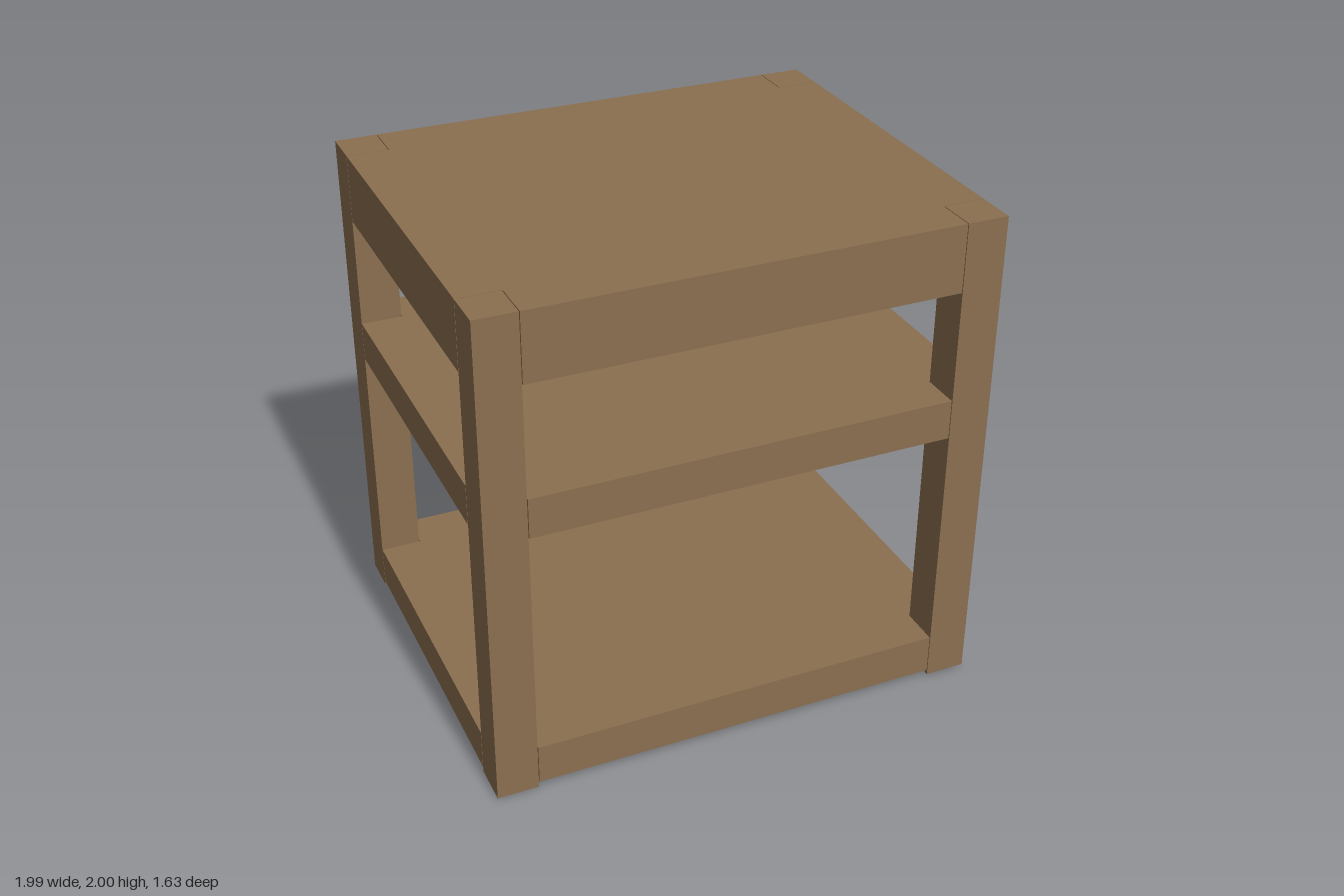
import * as THREE from 'three';

export function createModel() {
  const group = new THREE.Group();
  const wood = new THREE.MeshStandardMaterial({ color: 0x8b6f50 });
  wood.name = 'brown wood';

  const X = 0.997, Z = 0.815;      // outer half sizes
  const LEG = 0.163, BOARD = 0.08; // leg width, board thickness
  const lx = X - LEG, lz = Z - LEG; // inner leg faces
  const GAP = 0.003;

  const add = (name, geometry, x, y, z) => {
    const mesh = new THREE.Mesh(geometry, wood);
    mesh.name = name;
    mesh.position.set(x, y, z);
    group.add(mesh);
  };
  const box = (name, w, h, d, x, y, z) =>
    add(name, new THREE.BoxGeometry(w, h, d), x, y, z);

  // Legs with small glides underneath
  for (const sx of [-1, 1]) for (const sz of [-1, 1]) {
    const x = sx * (X - LEG / 2), z = sz * (Z - LEG / 2);
    box('leg', LEG, 1.99, LEG, x, 1.005, z);
    add('footGlide', new THREE.CylinderGeometry(0.053, 0.053, 0.012, 24), x, 0.006, z);
  }

  // Shelf board outline, notched around the legs
  const px = X - BOARD, pz = Z - BOARD;
  const nx = lx - GAP, nz = lz - GAP;
  const outline = new THREE.Shape([
    [nx, -pz], [nx, -nz], [px, -nz], [px, nz], [nx, nz], [nx, pz],
    [-nx, pz], [-nx, nz], [-px, nz], [-px, -nz], [-nx, -nz], [-nx, -pz],
  ].map(([x, y]) => new THREE.Vector2(x, y)));
  const board = new THREE.ExtrudeGeometry(outline, { depth: BOARD, bevelEnabled: false });
  board.rotateX(-Math.PI / 2);

  // Each level: a board framed by four rails
  const levels = [
    ['top', 1.73, 2.0],
    ['middleShelf', 1.125, 1.285],
    ['bottomShelf', 0.032, 0.195],
  ];
  for (const [name, y0, y1] of levels) {
    const h = y1 - y0, y = (y0 + y1) / 2;
    add(name + 'Board', board, 0, y1 - BOARD, 0);
    for (const s of [-1, 1]) {
      box(name + (s > 0 ? 'FrontRail' : 'BackRail'), 2 * nx, h, BOARD, 0, y, s * (Z - BOARD / 2));
      box(name + (s > 0 ? 'LeftRail' : 'RightRail'), BOARD, h, 2 * nz, s * (X - BOARD / 2), y, 0);
    }
  }
  return group;
}
